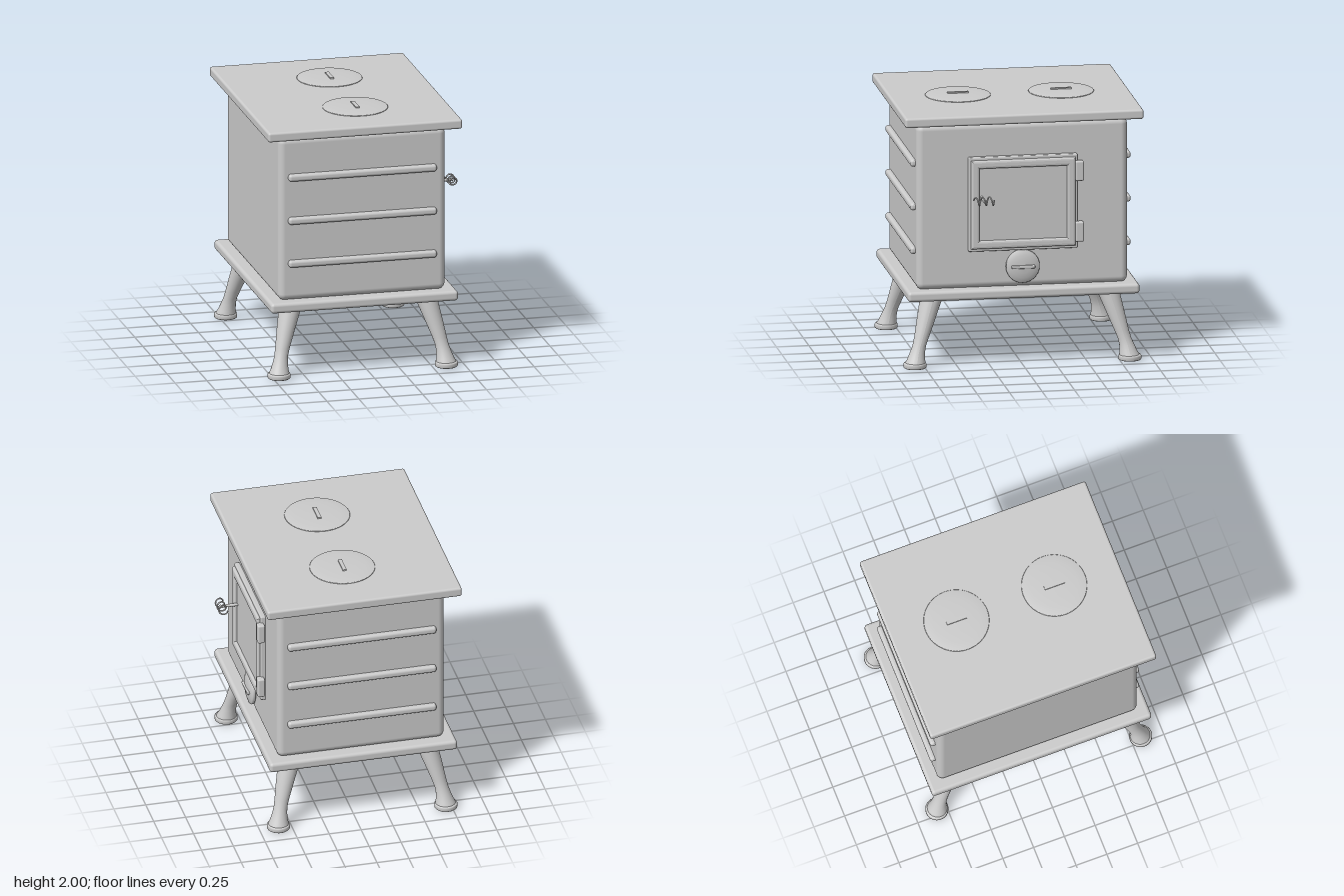
import * as THREE from 'three';
import { RoundedBoxGeometry } from 'three/addons/geometries/RoundedBoxGeometry.js';

const MID_X = -0.05; // the stove body sits slightly left of the origin
const material = new THREE.MeshStandardMaterial({ color: 0xcccccc, side: THREE.DoubleSide });

function add(parent, name, geometry, x = 0, y = 0, z = 0) {
  const mesh = new THREE.Mesh(geometry, material);
  mesh.name = name;
  mesh.position.set(x, y, z);
  parent.add(mesh);
  return mesh;
}

const rounded = (w, h, d, r, seg = 4) => new RoundedBoxGeometry(w, h, d, seg, r);

function lathe(points, segments = 48) {
  return new THREE.LatheGeometry(points.map(([r, y]) => new THREE.Vector2(r, y)), segments);
}

// Round sections whose centres splay outwards: [y, x, z, radius]
function splayedLeg(sections, sx, sz, segments = 28) {
  const positions = [], index = [];
  sections.forEach(([y, x, z, r], i) => {
    for (let j = 0; j <= segments; j++) {
      const a = (j / segments) * Math.PI * 2;
      positions.push(sx * x + r * Math.cos(a), y, sz * z + r * Math.sin(a));
      if (i && j) {
        const b = i * (segments + 1) + j, c = b - segments - 1;
        index.push(c - 1, b - 1, c, c, b - 1, b);
      }
    }
  });
  const geometry = new THREE.BufferGeometry();
  geometry.setAttribute('position', new THREE.Float32BufferAttribute(positions, 3));
  geometry.setIndex(index);
  geometry.computeVertexNormals();
  return geometry;
}

function rectangle(path, w, h) {
  path.moveTo(-w / 2, -h / 2);
  path.lineTo(w / 2, -h / 2);
  path.lineTo(w / 2, h / 2);
  path.lineTo(-w / 2, h / 2);
  path.closePath();
  return path;
}

// Spring grip wound around the x axis
class Helix extends THREE.Curve {
  getPoint(t, target = new THREE.Vector3()) {
    const a = t * Math.PI * 2 * 3;
    return target.set((t - 0.5) * 0.16, 0.031 * Math.sin(a), -0.031 * Math.cos(a));
  }
}

function createDoor() {
  // Local z points out of the stove side
  const door = new THREE.Group();
  door.name = 'door';
  door.position.set(0.605, 1.267, 0);
  door.rotation.y = Math.PI / 2;

  add(door, 'doorBacking', rounded(0.84, 0.735, 0.06, 0.01, 2), 0, 0, 0.007);

  // Raised frame with bevelled edges around the sunken panel
  const shape = rectangle(new THREE.Shape(), 0.764, 0.65);
  shape.holes.push(rectangle(new THREE.Path(), 0.714, 0.604));
  const frame = new THREE.ExtrudeGeometry(shape, {
    depth: 0.012, bevelEnabled: true, bevelThickness: 0.014, bevelSize: 0.02, bevelSegments: 3,
  });
  add(door, 'doorFrame', frame, 0, 0, 0.034);

  for (const y of [1.505, 1.03]) {
    add(door, 'hinge', rounded(0.065, 0.155, 0.055, 0.012), 0.432, y - 1.267, 0.041);
  }

  // Handle stem and spring grip
  const handle = new THREE.Group();
  handle.name = 'doorHandle';
  handle.position.set(-0.318, 0.055, 0);
  door.add(handle);
  const stem = add(handle, 'handleStem', new THREE.CylinderGeometry(0.012, 0.012, 0.14, 16), 0, 0, 0.1);
  stem.rotation.x = Math.PI / 2;
  add(handle, 'handleStemEnd', new THREE.SphereGeometry(0.014, 16, 10), 0, 0, 0.17);
  add(handle, 'springGrip', new THREE.TubeGeometry(new Helix(), 120, 0.006, 8), 0, 0, 0.165);
  return door;
}

function createAirVent() {
  const vent = new THREE.Group();
  vent.name = 'airVent';
  vent.position.set(0.605, 0.77, 0);
  vent.rotation.y = Math.PI / 2;
  const disc = add(vent, 'ventDisc', lathe([
    [0, 0], [0.12, 0], [0.13, 0.008], [0.13, 0.022], [0.126, 0.03], [0.09, 0.042], [0.05, 0.049], [0, 0.052],
  ]));
  disc.rotation.x = Math.PI / 2;
  add(vent, 'ventGrip', rounded(0.18, 0.026, 0.03, 0.008, 3), 0, 0, 0.047);
  return vent;
}

export function createModel() {
  const stove = new THREE.Group();
  stove.name = 'stove';

  // Firebox between the base and the cooking top
  add(stove, 'firebox', rounded(1.306, 1.29, 1.624, 0.05, 5), MID_X + 0.002, 1.25, 0);
  add(stove, 'basePlate', rounded(1.466, 0.078, 1.784, 0.025), MID_X + 0.002, 0.571, 0);
  add(stove, 'topPlate', rounded(1.52, 0.075, 1.836, 0.018), MID_X, 1.938, 0);

  // Hot plates with a grip bar
  for (const z of [-0.4, 0.395]) {
    const plate = new THREE.Group();
    plate.name = 'hotPlate';
    plate.position.set(0, 1.972, z);
    add(plate, 'hotPlateDisc', lathe([
      [0, 0], [0.245, 0], [0.25, 0.005], [0.246, 0.01], [0.18, 0.015], [0.1, 0.018], [0, 0.019],
    ], 64));
    add(plate, 'hotPlateGrip', new THREE.BoxGeometry(0.03, 0.018, 0.16), 0, 0.019, 0);
    stove.add(plate);
  }

  // Raised ribs on the front and back
  for (const side of [1, -1]) {
    for (const y of [0.9, 1.24, 1.582]) {
      add(stove, side > 0 ? 'frontRib' : 'backRib', rounded(1.16, 0.056, 0.07, 0.022), MID_X, y, side * 0.814);
    }
  }

  stove.add(createDoor(), createAirVent());

  // Splayed legs on round feet
  const sections = [
    [0.03, 0.655, 0.826, 0.079], [0.045, 0.653, 0.824, 0.077], [0.07, 0.649, 0.817, 0.068],
    [0.12, 0.64, 0.806, 0.057], [0.17, 0.629, 0.79, 0.052], [0.23, 0.613, 0.77, 0.056],
    [0.35, 0.58, 0.733, 0.069], [0.46, 0.548, 0.699, 0.08], [0.55, 0.523, 0.671, 0.089],
  ];
  const foot = lathe([
    [0, 0], [0.06, 0.001], [0.08, 0.004], [0.087, 0.01], [0.088, 0.034], [0.084, 0.042], [0.07, 0.046], [0, 0.046],
  ], 32);
  for (const sx of [1, -1]) {
    for (const sz of [1, -1]) {
      const leg = new THREE.Group();
      leg.name = (sz > 0 ? 'front' : 'back') + (sx > 0 ? 'Left' : 'Right') + 'Leg';
      leg.position.x = MID_X;
      add(leg, 'legShaft', splayedLeg(sections, sx, sz));
      add(leg, 'foot', foot, sx * 0.655, 0, sz * 0.828);
      stove.add(leg);
    }
  }
  return stove;
}
